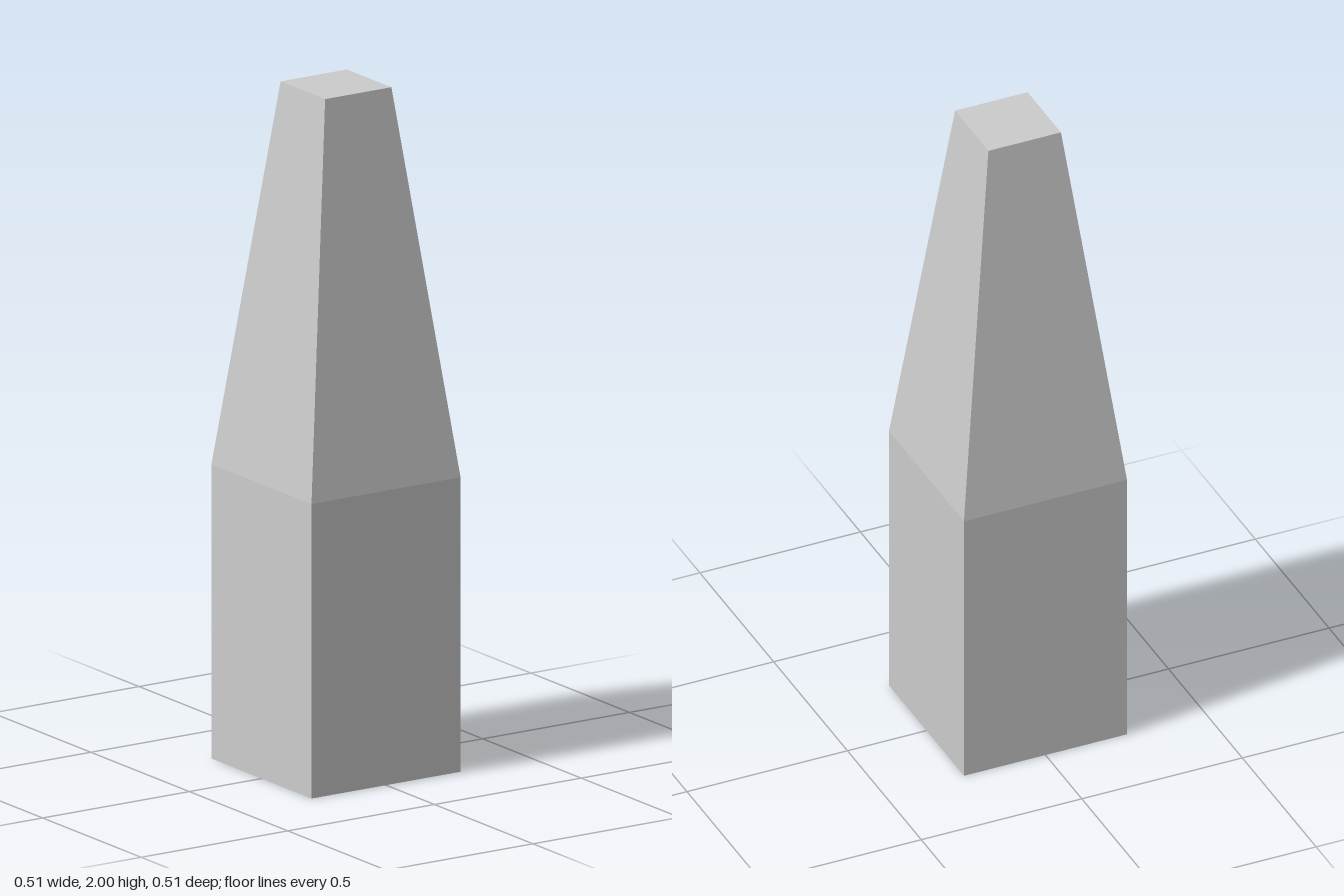
import * as THREE from 'three';

const HEIGHT = 2;
const SHOULDER = 0.865; // height where the taper begins
const BASE = 0.508; // width of the square shaft
const TIP = 0.226; // width of the flat top

export function createModel() {
  const group = new THREE.Group();
  group.name = 'taperedPost';

  // One closed box with an edge ring at the shoulder; the top ring is drawn in
  const box = new THREE.BoxGeometry(BASE, HEIGHT, BASE, 1, 2, 1);
  const pos = box.attributes.position;
  for (let i = 0; i < pos.count; i++) {
    const y = pos.getY(i);
    const scale = y > 0.5 ? TIP / BASE : 1;
    const newY = y > 0.5 ? HEIGHT : y < -0.5 ? 0 : SHOULDER;
    pos.setXYZ(i, pos.getX(i) * scale, newY, pos.getZ(i) * scale);
  }

  // Separate faces so that every plane is shaded flat
  const geometry = box.toNonIndexed();
  geometry.computeVertexNormals();

  const material = new THREE.MeshStandardMaterial({ color: 0xcccccc, flatShading: true });
  const post = new THREE.Mesh(geometry, material);
  post.name = 'post';
  group.add(post);
  return group;
}
